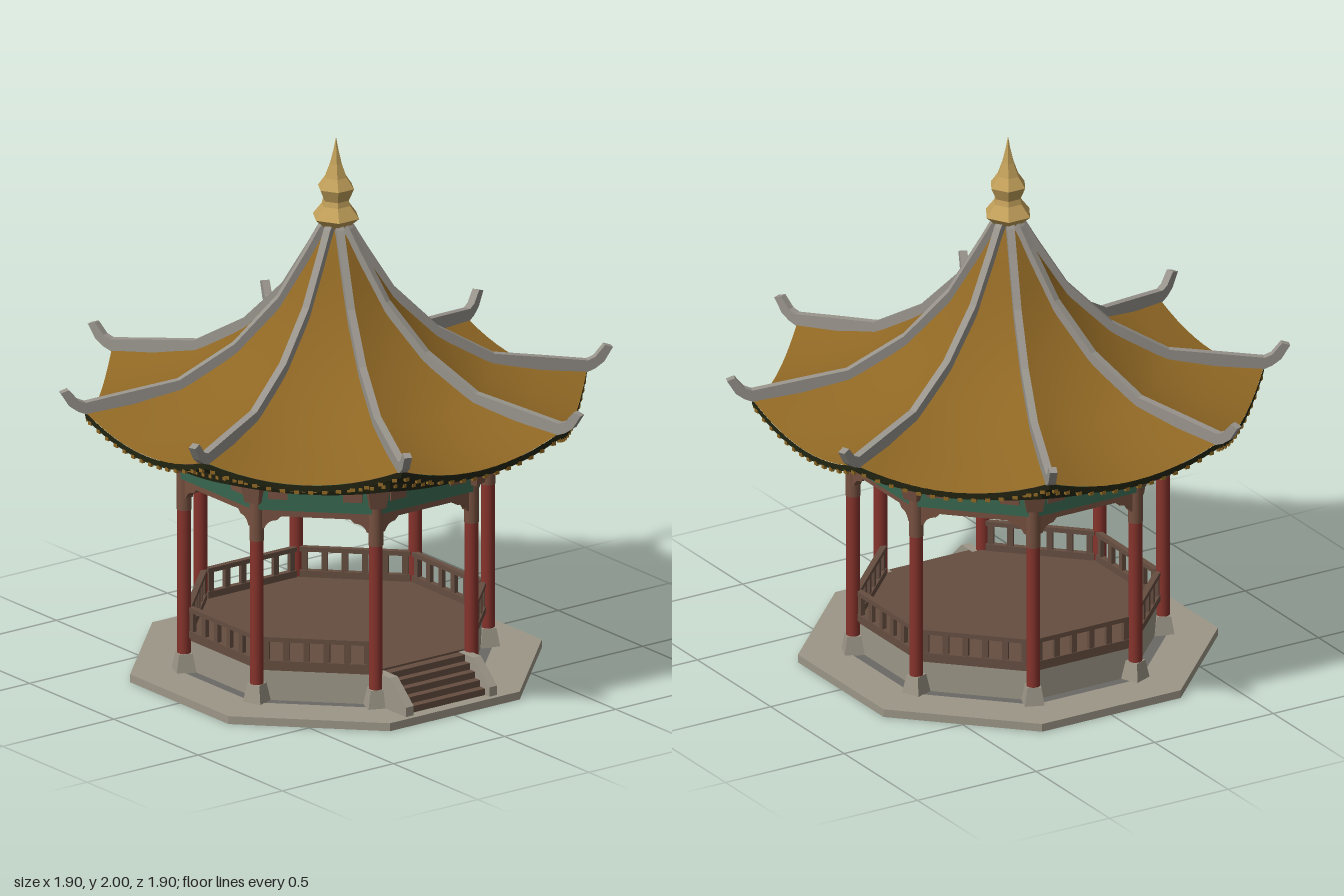
import * as THREE from 'three';

const T = Math.tan(Math.PI / 8), C = Math.cos(Math.PI / 8);
const mat = (name, color, side = THREE.FrontSide) => {
  const m = new THREE.MeshStandardMaterial({ color, side });
  m.name = name;
  return m;
};

export function createModel() {
  const M = {
    tile: mat('ochre roof tile', 0x8f6724),
    ridge: mat('grey ridge', 0x98948c),
    gold: mat('gold', 0xc2a05a),
    eaves: mat('dark eaves', 0x232512),
    green: mat('green paint', 0x38664f),
    clay: mat('terracotta paint', 0x75503f),
    red: mat('red lacquer', 0x86332c),
    wood: mat('brown wood', 0x654d40),
    stone: mat('stone', 0x9c9687, THREE.DoubleSide),
    footing: mat('dark footing', 0x6a6966),
  };
  const model = new THREE.Group();
  model.name = 'pavilion';

  const add = (parent, name, geo, material, x = 0, y = 0, z = 0) => {
    const m = new THREE.Mesh(geo, material);
    m.name = name;
    m.position.set(x, y, z);
    parent.add(m);
    return m;
  };
  const box = (w, h, d) => new THREE.BoxGeometry(w, h, d);
  const flat = (g) => {
    const n = g.toNonIndexed();
    n.computeVertexNormals();
    return n;
  };
  const poly = (pts) => new THREE.Shape(pts.map(([x, y]) => new THREE.Vector2(x, y)));
  const extrude = (shape, depth) => new THREE.ExtrudeGeometry(shape, { depth, bevelEnabled: false, curveSegments: 6 });
  const octagon = (a) => Array.from({ length: 8 }, (_, i) => {
    const t = Math.PI / 8 + i * Math.PI / 4;
    return [a / C * Math.cos(t), a / C * Math.sin(t)];
  });
  // Flat octagonal plate, optionally with an octagonal hole
  const plate = (a, h, hole) => {
    const s = poly(octagon(a));
    if (hole) s.holes.push(poly(octagon(hole)));
    return extrude(s, h).rotateX(-Math.PI / 2);
  };
  // One eighth of the roof: stations are [apothem, corner height, sag at mid-edge]
  const sector = (stations, n = 12) => {
    const pos = [], idx = [];
    stations.forEach(([a, y, sag]) => {
      for (let j = 0; j <= n; j++) {
        const u = j / n * 2 - 1;
        pos.push(u * a * T, y - sag * (1 - u * u), a);
      }
    });
    for (let i = 0; i < stations.length - 1; i++) {
      for (let j = 0; j < n; j++) {
        const p = i * (n + 1) + j, q = p + n + 1;
        idx.push(p, q, p + 1, q, q + 1, p + 1);
      }
    }
    const g = new THREE.BufferGeometry();
    g.setAttribute('position', new THREE.Float32BufferAttribute(pos, 3));
    g.setIndex(idx);
    g.computeVertexNormals();
    return g;
  };

  // Base and deck
  add(model, 'baseSlab', plate(0.705, 0.03, 0.54), M.stone);
  add(model, 'footingRing', plate(0.54, 0.025, 0.435), M.footing, 0, 0.003);
  add(model, 'plinthWall', flat(new THREE.CylinderGeometry(0.5 / C, 0.5 / C, 0.12, 8, 1, true, Math.PI / 8)), M.stone, 0, 0.088);
  add(model, 'deck', plate(0.505, 0.015), M.wood, 0, 0.142);
  add(model, 'ceiling', plate(0.53, 0.015), M.wood, 0, 0.765);

  // Front stairs between sloping cheek walls
  for (let i = 0; i < 5; i++) {
    const depth = 0.16 - i * 0.03, h = 0.024;
    add(model, 'step', box(0.34, h, depth), M.wood, 0, 0.03 + h * (i + 0.5), 0.5 + depth / 2);
  }
  const cheek = extrude(poly([[0.5, 0.03], [0.685, 0.03], [0.685, 0.065], [0.59, 0.152], [0.5, 0.152]]), 0.035).rotateY(-Math.PI / 2);
  [0.205, -0.17].forEach((x) => add(model, 'stairCheek', cheek, M.stone, x));

  // Shared sector geometry
  const roofGeo = sector([[0.03, 1.67, 0], [0.06, 1.625, 0], [0.1, 1.55, 0], [0.15, 1.46, 0.002], [0.2, 1.38, 0.004],
    [0.27, 1.295, 0.008], [0.35, 1.22, 0.014], [0.44, 1.155, 0.02], [0.54, 1.1, 0.03], [0.7, 1.062, 0.05], [0.86, 1.04, 0.07]]);
  const eavesGeo = flat(sector([[0.86, 1.039, 0.07], [0.858, 1.015, 0.07], [0.71, 0.945, 0.035], [0.7, 0.905, 0.025],
    [0.6, 0.872, 0.01], [0.53, 0.858, 0]]));
  // Lintel with curved brackets at each end
  const lintel = new THREE.Shape();
  lintel.moveTo(-0.215, 0.765);
  lintel.lineTo(-0.215, 0.685);
  lintel.lineTo(-0.185, 0.69);
  lintel.quadraticCurveTo(-0.175, 0.72, -0.14, 0.722);
  lintel.lineTo(-0.125, 0.737);
  lintel.lineTo(0.125, 0.737);
  lintel.lineTo(0.14, 0.722);
  lintel.quadraticCurveTo(0.175, 0.72, 0.185, 0.69);
  lintel.lineTo(0.215, 0.685);
  lintel.lineTo(0.215, 0.765);
  const lintelGeo = extrude(lintel, 0.03);

  for (let k = 0; k < 8; k++) {
    const side = new THREE.Group();
    side.name = 'side' + k;
    side.rotation.y = k * Math.PI / 4;
    model.add(side);
    add(side, 'roofPanel', roofGeo, M.tile);
    add(side, 'eaves', eavesGeo, M.eaves);
    // Rafter ends and drip tiles follow the sagging eaves
    for (let j = 0; j < 14; j++) {
      const u = (j + 0.5) / 7 - 1, s = 1 - u * u;
      add(side, 'rafterEnd', box(0.014, 0.012, 0.012), M.tile, u * 0.7 * T, 0.928 - 0.03 * s, 0.704);
      add(side, 'dripTile', box(0.018, 0.014, 0.012), M.tile, u * 0.855 * T, 1.012 - 0.07 * s, 0.853);
    }
    add(side, 'lintel', lintelGeo, M.clay, 0, 0, 0.505);
    add(side, 'paintedBeam', box(0.45, 0.1, 0.04), M.green, 0, 0.812, 0.525);
    for (const s of [-1, 1]) {
      add(side, 'beamPanel', box(0.07, 0.05, 0.006), M.clay, s * 0.135, 0.83, 0.546);
    }
    // Railing, left open at the stairs
    if (k > 0) {
      add(side, 'topRail', box(0.4, 0.017, 0.022), M.wood, 0, 0.262, 0.505);
      add(side, 'bottomRail', box(0.4, 0.026, 0.022), M.wood, 0, 0.169, 0.505);
      for (let j = 0; j < 6; j++) {
        add(side, 'baluster', box(0.022, 0.08, 0.016), M.wood, (j - 2.5) * 0.073, 0.217, 0.505);
      }
    }
  }

  // Corner ridge, drawn as a side profile with an upturned tip
  const ridgeTop = [[0.03, 1.7], [0.06, 1.665], [0.1, 1.59], [0.2, 1.415], [0.35, 1.252], [0.54, 1.132], [0.7, 1.105],
    [0.86, 1.077], [0.885, 1.088], [0.918, 1.13], [0.945, 1.12]];
  const ridgeBottom = [[0.915, 1.068], [0.885, 1.045], [0.855, 1.032], [0.7, 1.052], [0.54, 1.09], [0.35, 1.21], [0.2, 1.37],
    [0.1, 1.54], [0.03, 1.66]];
  const ridgeGeo = extrude(poly([...ridgeTop, ...ridgeBottom].reverse().map(([a, y]) => [a / C, y])), 0.028).translate(0, 0, -0.014);
  const baseGeo = flat(new THREE.CylinderGeometry(0.036, 0.052, 0.07, 4, 1, false, Math.PI / 4));
  const columnGeo = new THREE.CylinderGeometry(0.025, 0.025, 0.62, 16);
  const capGeo = flat(new THREE.CylinderGeometry(0.058, 0.04, 0.075, 4, 1, false, Math.PI / 4));

  for (let k = 0; k < 8; k++) {
    const corner = new THREE.Group();
    corner.name = 'corner' + k;
    corner.rotation.y = Math.PI / 8 + k * Math.PI / 4;
    model.add(corner);
    const r = 0.52 / C;
    add(corner, 'ridge', ridgeGeo, M.ridge);
    add(corner, 'columnBase', baseGeo, M.stone, r, 0.062, 0);
    add(corner, 'column', columnGeo, M.red, r, 0.34, 0);
    add(corner, 'columnTop', new THREE.CylinderGeometry(0.027, 0.027, 0.16, 16), M.clay, r, 0.72, 0);
    add(corner, 'capital', capGeo, M.clay, r + 0.01, 0.825, 0);
  }

  // Six-sided finial
  const profile = [[0, 1.655], [0.05, 1.665], [0.09, 1.7], [0.055, 1.745], [0.05, 1.765], [0.07, 1.81], [0.042, 1.85],
    [0.023, 1.9], [0.01, 1.95], [0, 2]].map(([x, y]) => new THREE.Vector2(x, y));
  add(model, 'finial', flat(new THREE.LatheGeometry(profile, 6, Math.PI / 6)), M.gold);
  return model;
}
